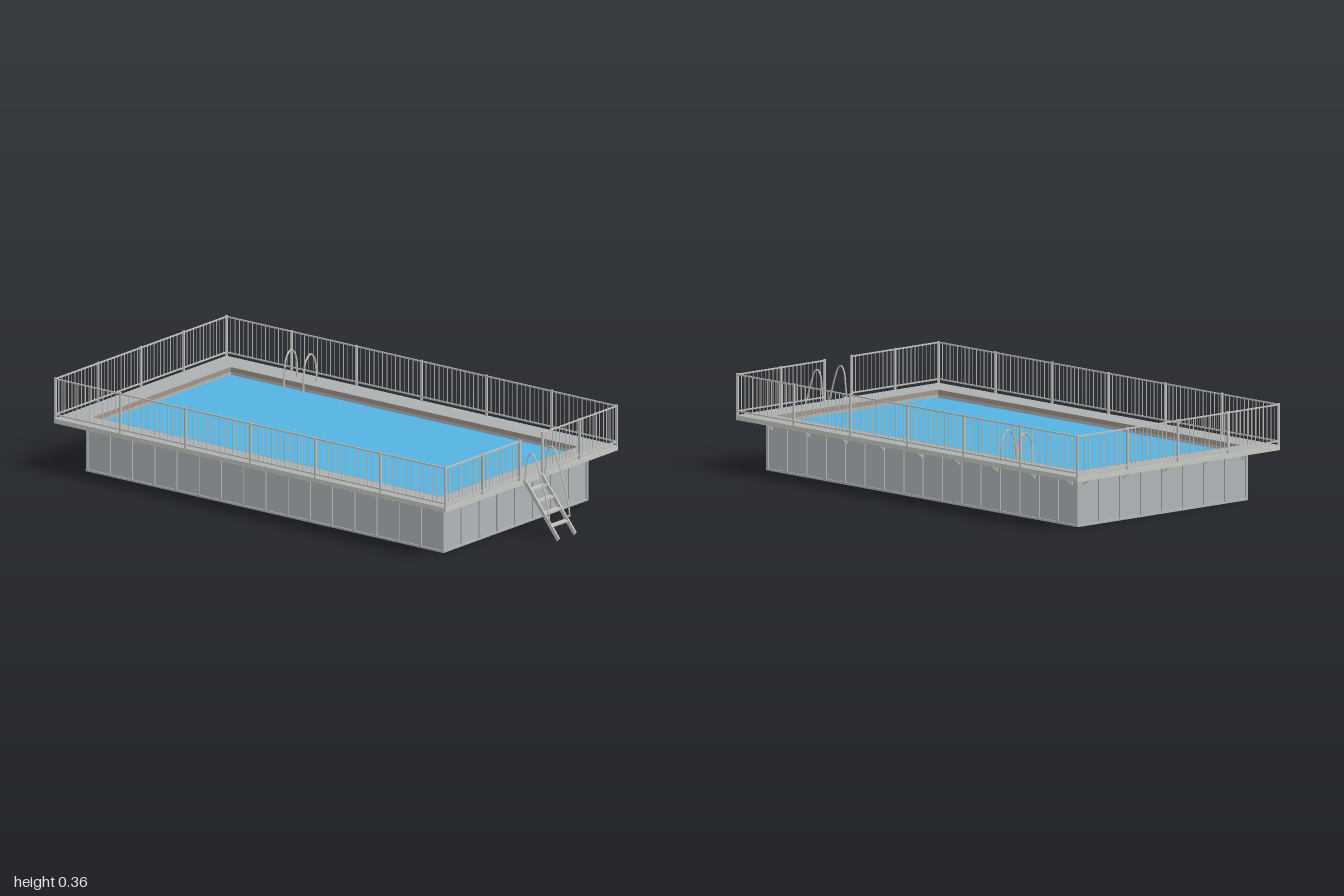
import * as THREE from 'three';
import { mergeGeometries } from 'three/addons/utils/BufferGeometryUtils.js';

const mat = (name, color) => new THREE.MeshStandardMaterial({ name, color });

// x and z limits of the deck, the pool body and the water opening
const DECK = { x: 0.508, z0: -1, z1: 0.832 };
const BODY = { x: 0.422, z0: -0.91, z1: 0.752 };
const POOL = { x: 0.404, z0: -0.896, z1: 0.724 };

export function createModel() {
  const model = new THREE.Group();
  model.name = 'raisedPool';
  const deckGrey = mat('deckGrey', 0xacb0b1);
  const panelGrey = mat('panelGrey', 0xafb6b8);
  const frameGrey = mat('frameGrey', 0xb2b5b4);
  const metal = mat('railMetal', 0xc2c2be);
  const waterBlue = mat('waterBlue', 0x55b2e0);
  const floorBlue = mat('floorBlue', 0x266cb0);
  const edgeGrey = mat('edgeGrey', 0xc8c8c3);
  const trim = mat('copingTrim', 0xa09488);

  const add = (name, geometry, material, parent = model) => {
    const mesh = new THREE.Mesh(geometry, material);
    mesh.name = name;
    parent.add(mesh);
    return mesh;
  };
  const box = (w, h, d, x, y, z) => new THREE.BoxGeometry(w, h, d).translate(x, y, z);

  // straight bar between two points
  const bar = (a, b, r, sides = 6) => {
    const p = new THREE.Vector3(...a), q = new THREE.Vector3(...b);
    const dir = q.clone().sub(p);
    const g = new THREE.CylinderGeometry(r, r, dir.length(), sides);
    g.applyQuaternion(new THREE.Quaternion().setFromUnitVectors(
      new THREE.Vector3(0, 1, 0), dir.normalize()));
    return g.translate((p.x + q.x) / 2, (p.y + q.y) / 2, (p.z + q.z) / 2);
  };
  const tube = (points, r) => new THREE.TubeGeometry(
    new THREE.CatmullRomCurve3(points.map(p => new THREE.Vector3(...p))), 36, r, 8, false);

  // flat rectangular ring lying between two heights
  const ring = (outer, inner, y0, y1) => {
    const trace = (path, r) => {
      path.moveTo(-r.x, -r.z1); path.lineTo(r.x, -r.z1);
      path.lineTo(r.x, -r.z0); path.lineTo(-r.x, -r.z0); path.closePath();
      return path;
    };
    const shape = trace(new THREE.Shape(), outer);
    shape.holes.push(trace(new THREE.Path(), inner));
    return new THREE.ExtrudeGeometry(shape, { depth: y1 - y0, bevelEnabled: false })
      .rotateX(-Math.PI / 2).translate(0, y0, 0);
  };
  const grow = (r, d) => ({ x: r.x + d, z0: r.z0 - d, z1: r.z1 + d });

  // walls, floor and water
  add('poolWalls', ring(BODY, POOL, 0.004, 0.188), panelGrey);
  const midZ = (BODY.z0 + BODY.z1) / 2, lenZ = BODY.z1 - BODY.z0;
  add('poolFloor', box(BODY.x * 2, 0.004, lenZ, 0, 0.003, midZ), floorBlue);
  add('water', box(POOL.x * 2, 0.006, POOL.z1 - POOL.z0, 0,
    0.173, (POOL.z0 + POOL.z1) / 2), waterBlue);

  // wall frame: bottom and top rails, evenly spaced ribs
  const frame = [ring(grow(BODY, 0.005), grow(BODY, -0.004), 0, 0.008),
    ring(grow(BODY, 0.005), BODY, 0.18, 0.188)];
  for (let i = 0; i <= 8; i++) {
    const x = -BODY.x + BODY.x * 2 * i / 8;
    for (const z of [BODY.z0, BODY.z1]) frame.push(box(0.009, 0.186, 0.01, x, 0.095, z));
  }
  for (let i = 0; i <= 16; i++) {
    const z = BODY.z0 + lenZ * i / 16;
    for (const s of [-1, 1]) frame.push(box(0.01, 0.186, 0.009, s * BODY.x, 0.095, z));
  }
  // mixed indexed and plain geometries are merged as plain ones
  const merge = list => mergeGeometries(list.map(g => g.index ? g.toNonIndexed() : g));
  add('wallFrame', merge(frame), frameGrey);

  // slanted brackets holding up the deck
  const brackets = [];
  const bracket = (x, z, dx, dz) => {
    brackets.push(bar([x, 0.155, z], [x + dx * 0.045, 0.188, z + dz * 0.045], 0.0025, 4));
    brackets.push(box(0.005, 0.033, 0.005, x + dx * 0.002, 0.17, z + dz * 0.002));
  };
  for (let i = 0; i < 9; i++)
    for (const s of [-1, 1]) bracket(s * 0.427, 0.725 - i * 0.2015, s, 0);
  for (let i = -2; i <= 2; i++) {
    bracket(i * 0.198, 0.757, 0, 1);
    bracket(i * 0.198, -0.915, 0, -1);
  }
  add('deckBrackets', merge(brackets), metal);

  // deck with a pale outer edge and a flush coping round the water
  const coping = grow(POOL, 0.003);
  add('deck', ring(grow(DECK, -0.003), coping, 0.188, 0.205), deckGrey);
  add('deckEdge', ring(DECK, grow(DECK, -0.003), 0.187, 0.205), edgeGrey);
  add('coping', ring(coping, POOL, 0.188, 0.205), trim);

  // fence: each run has posts, two rails and thin balusters
  const posts = [], rails = [], balusters = [];
  const fenceRun = (a, b, sections, perSection) => {
    const at = t => [a[0] + (b[0] - a[0]) * t, a[1] + (b[1] - a[1]) * t];
    const n = sections * perSection;
    for (let i = 0; i <= n; i++) {
      const [x, z] = at(i / n);
      if (i % perSection === 0) posts.push(box(0.008, 0.156, 0.008, x, 0.283, z));
      else balusters.push(bar([x, 0.22, z], [x, 0.356, z], 0.0015, 6));
    }
    const w = Math.abs(b[0] - a[0]), d = Math.abs(b[1] - a[1]);
    const [x, z] = at(0.5);
    for (const y of [0.22, 0.356])
      rails.push(box(w || 0.005, 0.005, d || 0.005, x, y, z));
  };
  const fx = 0.504, fz0 = -0.996, fz1 = 0.828;
  for (const s of [-1, 1]) {
    fenceRun([s * fx, fz1], [s * fx, fz0], 6, 15);
    fenceRun([s * fx, fz1], [s * 0.067, fz1], 2, 11);
  }
  fenceRun([-fx, fz0], [fx, fz0], 4, 13);
  add('fencePosts', merge(posts), metal);
  add('fenceRails', merge(rails), metal);
  add('fenceBalusters', merge(balusters), metal);

  // outside ladder leaning on the front edge
  const ladder = new THREE.Group();
  ladder.name = 'entryLadder';
  model.add(ladder);
  const side = new THREE.Shape([[0.99, 0], [1, 0.011], [0.845, 0.205], [0.833, 0.205], [0.833, 0.196]]
    .map(([z, y]) => new THREE.Vector2(-z, y)));
  const handrail = [[0.063, 0.962], [0.1, 0.957], [0.16, 0.944], [0.22, 0.924], [0.275, 0.905],
    [0.308, 0.889], [0.316, 0.874], [0.297, 0.859], [0.25, 0.851], [0.2, 0.845]];
  for (const s of [-1, 1]) {
    const g = new THREE.ExtrudeGeometry(side, { depth: 0.007, bevelEnabled: false })
      .rotateY(Math.PI / 2).translate(s * 0.049 - 0.0035, 0, 0);
    add('ladderStringer', g, metal, ladder);
    add('ladderHandrail', tube(handrail.map(([y, z]) => [s * 0.059, y, z]), 0.003), metal, ladder);
    for (const [y, z] of [[0.065, 0.957], [0.203, 0.845]])
      add('handrailClamp', bar([s * 0.047, y, z], [s * 0.06, y, z], 0.003), metal, ladder);
  }
  for (const y of [0.05, 0.091, 0.131, 0.17])
    add('ladderTread', box(0.094, 0.007, 0.021, 0, y, 0.994 - y * 0.8), metal, ladder);

  // pair of arched grab rails at the water's edge
  for (const z of [-0.635, -0.545])
    add('poolGrabRail', tube([[0.465, 0.203, z], [0.464, 0.255, z], [0.453, 0.295, z],
      [0.43, 0.315, z], [0.404, 0.295, z], [0.392, 0.25, z], [0.388, 0.17, z]], 0.0035), metal);

  return model;
}
